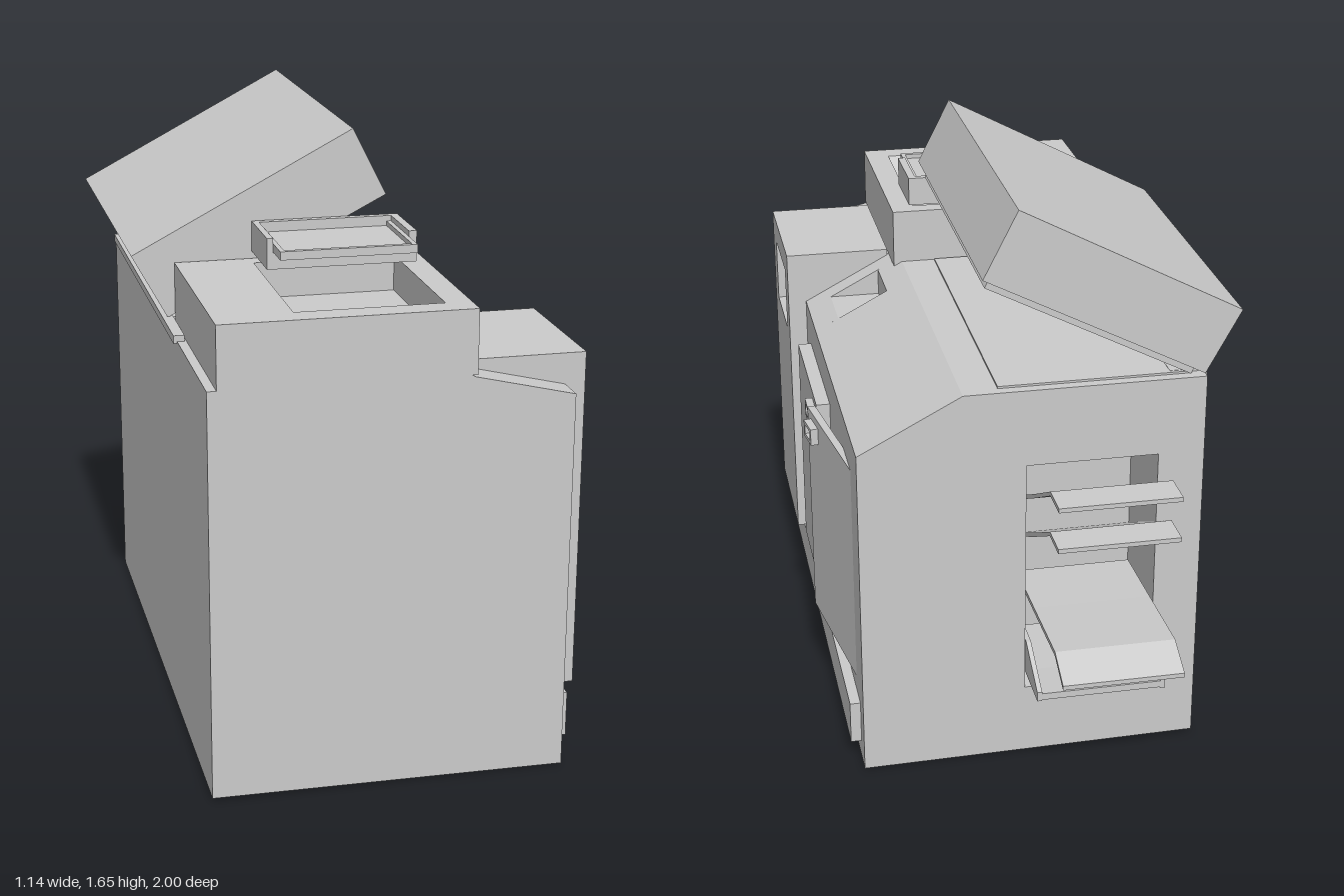
import * as THREE from 'three';

const grey = new THREE.MeshStandardMaterial({ color: 0xcccccc, side: THREE.DoubleSide });

function add(parent, name, geometry) {
  const mesh = new THREE.Mesh(geometry, grey);
  mesh.name = name;
  parent.add(mesh);
  return mesh;
}

// Box given by its limits
function box(parent, name, x0, x1, y0, y1, z0, z1) {
  const g = new THREE.BoxGeometry(x1 - x0, y1 - y0, z1 - z0);
  g.translate((x0 + x1) / 2, (y0 + y1) / 2, (z0 + z1) / 2);
  return add(parent, name, g);
}

function makeShape(points, hole) {
  const toVec = ([a, b]) => new THREE.Vector2(a, b);
  const shape = new THREE.Shape(points.map(toVec));
  if (hole) shape.holes.push(new THREE.Path(hole.map(toVec)));
  return shape;
}

const rect = (a0, a1, b0, b1) => [[a0, b0], [a1, b0], [a1, b1], [a0, b1]];

// Profile of [x, y] points extruded from z0 to z1
function alongZ(parent, name, points, z0, z1, hole) {
  const g = new THREE.ExtrudeGeometry(makeShape(points, hole), { depth: z1 - z0, bevelEnabled: false });
  g.translate(0, 0, z0);
  return add(parent, name, g);
}

// Profile of [z, y] points extruded from x0 to x1
function alongX(parent, name, points, x0, x1, hole) {
  const flip = (list) => list && list.map(([z, y]) => [-z, y]);
  const g = new THREE.ExtrudeGeometry(makeShape(flip(points), flip(hole)), { depth: x1 - x0, bevelEnabled: false });
  g.rotateY(Math.PI / 2);
  g.translate(x0, 0, 0);
  return add(parent, name, g);
}

function group(parent, name) {
  const g = new THREE.Group();
  g.name = name;
  parent.add(g);
  return g;
}

// Rectangular pull: a raised frame around a shallow cup
function handle(parent, x, z, y) {
  const g = group(parent, 'handle');
  alongX(g, 'handleFrame', rect(z - 0.037, z + 0.037, y - 0.025, y + 0.025), x, x + 0.022,
    rect(z - 0.025, z + 0.025, y - 0.014, y + 0.014));
}

// Bent sheet following a [z, y] path
function sheet(parent, name, path, x0, x1, t) {
  const under = path.map(([z, y]) => [z, y - t]).reverse();
  return alongX(parent, name, [...path, ...under], x0, x1);
}

export function createModel() {
  const model = new THREE.Group();
  model.name = 'photocopier';

  // Cabinet, in slices along its length
  const cabinet = group(model, 'cabinet');
  const L = -0.475, R = 0.49;
  const base = [[L, 0.01], [R, 0]];
  const profile = [...base, [R, 0.99], [0.2, 1.143], [L, 1.143]];
  const notched = [...base, [R, 0.99], [0.42, 1.027], [0.27, 1.027], [0.27, 1.106], [0.2, 1.143], [L, 1.143]];
  const frontProfile = [...base, [R, 1.06], [0.22, 1.125], [0.2, 1.135], [L, 1.135]];
  alongZ(cabinet, 'outletSection', profile, -0.64, -0.36, rect(-0.345, 0.025, 0.215, 0.92));
  alongZ(cabinet, 'middleSection', profile, -0.36, 0.24);
  alongZ(cabinet, 'pocketSection', notched, 0.24, 0.42);
  alongZ(cabinet, 'rearFrontSection', profile, 0.42, 0.5);
  alongZ(cabinet, 'frontSection', frontProfile, 0.5, 1);

  // Platen and hinge strip under the lid
  box(model, 'platen', -0.43, 0.1, 1.14, 1.149, -0.61, 0.37);
  box(model, 'hingeStrip', -0.485, -0.455, 1.13, 1.152, -0.6, 0.56);
  box(model, 'hingePlate', -0.47, -0.38, 1.135, 1.15, -0.6, 0.37);

  // Raised lid with its pressing pad
  const lid = group(model, 'lid');
  alongZ(lid, 'lidShell', [[-0.47, 1.15], [0.145, 1.465], [0.05, 1.652], [-0.567, 1.328]], -0.635, 0.375);
  const pad = (t, d) => [-0.47 + 0.615 * t + 0.456 * d, 1.15 + 0.315 * t - 0.89 * d];
  alongZ(lid, 'lidPad', [pad(0.04, 0), pad(0.97, 0), pad(0.97, 0.022), pad(0.04, 0.022)], -0.615, 0.31);

  // Feeder block with a sloped well in its top
  const feeder = group(model, 'feeder');
  const block = rect(0.38, 1, 1.13, 1.305);
  const well = [[0.38, 1.13], [1, 1.13], [1, 1.305], [0.93, 1.305], [0.82, 1.205], [0.43, 1.205], [0.43, 1.305], [0.38, 1.305]];
  alongX(feeder, 'feederSide', block, -0.45, -0.24);
  alongX(feeder, 'feederWell', well, -0.24, 0.155);
  alongX(feeder, 'feederSide', block, 0.155, 0.225);

  // Document tray above the well
  const tray = group(model, 'documentTray');
  box(tray, 'trayHousing', -0.235, 0.175, 1.325, 1.37, 0.38, 0.585);
  box(tray, 'trayCheek', -0.235, -0.218, 1.325, 1.41, 0.38, 0.585);
  box(tray, 'trayCheek', 0.153, 0.175, 1.325, 1.41, 0.38, 0.585);
  box(tray, 'trayBack', -0.235, 0.175, 1.325, 1.41, 0.38, 0.4);
  box(tray, 'trayPlate', -0.218, 0.153, 1.372, 1.382, 0.4, 0.675);
  box(tray, 'trayRim', -0.218, 0.153, 1.372, 1.395, 0.66, 0.675);
  for (const x of [-0.218, 0.14]) box(tray, 'trayRim', x, x + 0.013, 1.372, 1.395, 0.4, 0.675);

  // Control column with a recessed window
  const column = group(model, 'controlColumn');
  const face = rect(0.49, 0.915, 0.2, 1.145);
  alongX(column, 'columnCore', face, 0.23, 0.505);
  alongX(column, 'columnFront', face, 0.505, 0.545, rect(0.57, 0.83, 0.875, 1.07));

  // Doors and base drawer
  box(model, 'baseDrawer', 0.48, 0.52, 0.055, 0.182, -0.58, 0.945);
  const door = group(model, 'closedDoor');
  box(door, 'doorPanel', 0.48, 0.53, 0.23, 0.888, -0.07, 0.39);
  handle(door, 0.53, -0.003, 0.84);
  box(door, 'handleTab', 0.53, 0.537, 0.785, 0.815, -0.03, 0.027);

  const ajar = group(model, 'ajarDoor');
  ajar.position.set(0.485, 0, -0.545);
  ajar.rotation.y = 0.15;
  box(ajar, 'doorPanel', -0.022, 0, 0.23, 0.888, 0, 0.475);
  handle(ajar, 0, 0.403, 0.84);

  // Output trays in the rear opening
  const outlet = group(model, 'outputTrays');
  for (const y of [0, 0.12]) {
    sheet(outlet, 'upperTray', [[-0.4, 0.585 + y], [-0.64, 0.712 + y], [-0.82, 0.81 + y], [-0.92, 0.81 + y]], -0.335, 0, 0.013);
  }
  sheet(outlet, 'largeTray', [[-0.4, 0.46], [-0.64, 0.472], [-0.9, 0.486], [-1, 0.44]], -0.335, 0, 0.013);

  // Lower bin: sloped floor between two cheeks
  sheet(outlet, 'binFloor', [[-0.38, 0.262], [-0.64, 0.272], [-0.79, 0.285]], -0.335, 0.01, 0.02);
  const cheek = [[-0.38, 0.262], [-0.79, 0.262], [-0.79, 0.29], [-0.64, 0.365], [-0.38, 0.365]];
  for (const x of [-0.345, 0.008]) alongX(outlet, 'binCheek', cheek, x, x + 0.014);

  return model;
}
